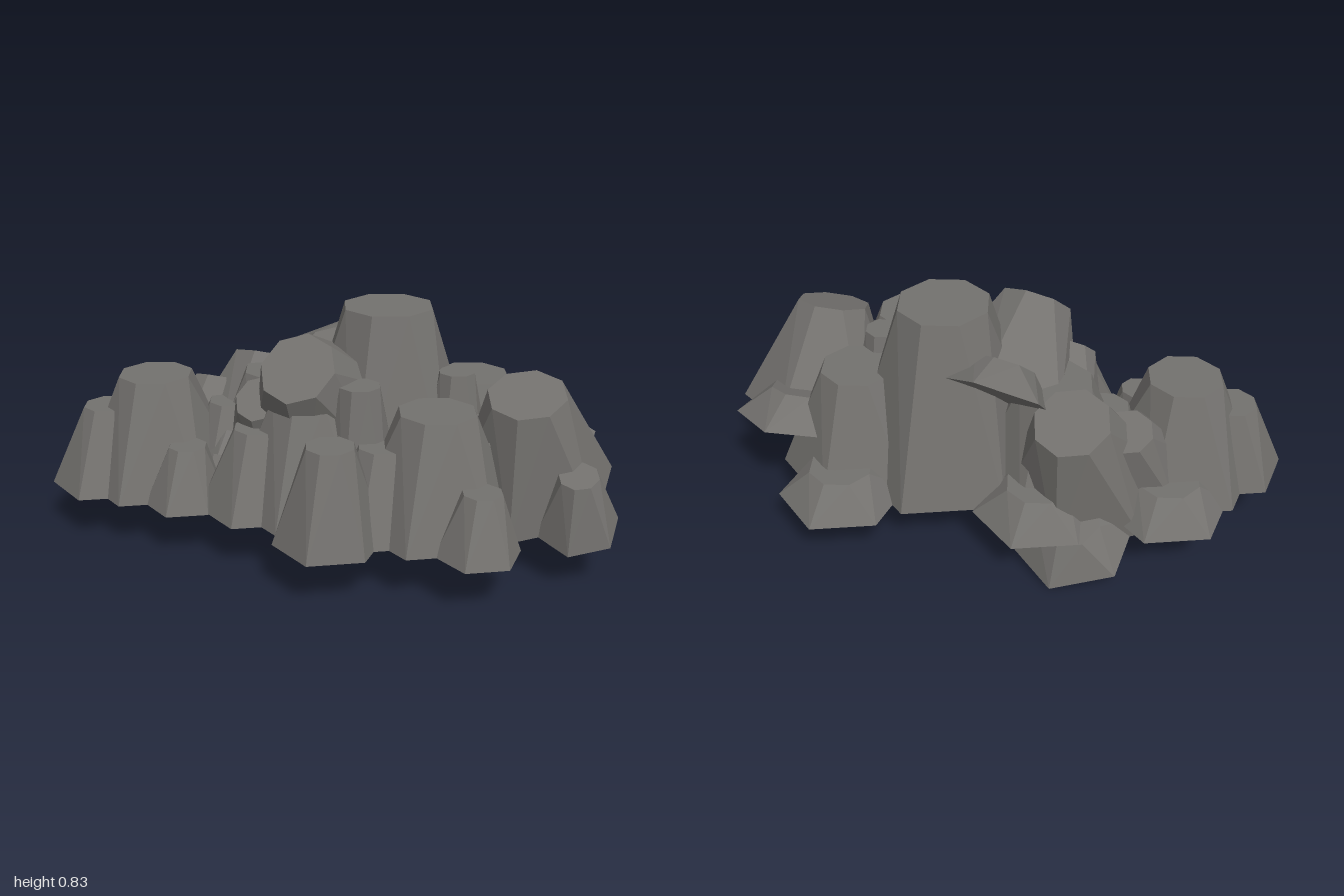
import * as THREE from 'three';
import { ConvexGeometry } from 'three/addons/geometries/ConvexGeometry.js';

const stone = new THREE.MeshStandardMaterial({ color: 0x73716e });
stone.name = 'grey stone';

// Points of a regular ring at height y, with one corner towards +z
function ring(sides, radius, y, z = 0) {
  return Array.from({ length: sides }, (_, i) => {
    const a = (i / sides) * Math.PI * 2;
    return new THREE.Vector3(Math.sin(a) * radius, y, Math.cos(a) * radius + z);
  });
}

// Tapered boulder: six-sided foot, eight-sided flat top that may lean in z
function boulder(name, x, z, foot, top, height, lean = 0) {
  const points = [...ring(6, foot, 0), ...ring(8, top, height, lean)];
  const mesh = new THREE.Mesh(new ConvexGeometry(points), stone);
  mesh.name = name;
  mesh.position.set(x, 0, z);
  return mesh;
}

// Cluster of four boulders sharing one foot plane, optionally tilted
function cluster(name, x, y, z, tilt = 0) {
  const group = new THREE.Group();
  group.name = name;
  group.add(
    boulder('tallBoulder', 0, 0, 0.3, 0.135, 0.405),
    boulder('sideBoulder', -0.16, 0.1, 0.21, 0.088, 0.29, -0.02),
    boulder('smallBoulder', 0.2, 0.17, 0.145, 0.068, 0.205, -0.03),
    boulder('lowBoulder', -0.03, -0.21, 0.23, 0.115, 0.115)
  );
  group.position.set(x, y, z);
  group.rotation.x = THREE.MathUtils.degToRad(tilt);
  return group;
}

export function createModel() {
  const model = new THREE.Group();
  model.name = 'rockPile';
  const ground = 0.165;

  // Upright clusters
  model.add(
    cluster('leftEndRocks', -0.66, ground, 0.2),
    cluster('middleRocks', -0.05, ground, 0.2),
    cluster('frontRocks', 0.41, ground, 0.2),
    cluster('backRocks', 0.41, ground, -0.22),
    cluster('innerRocks', -0.26, ground, -0.015)
  );

  // Tilted clusters
  model.add(
    cluster('sideLeaningRocks', 0.675, 0.235, -0.08, 20),
    cluster('backLeaningRocks', -0.39, 0.183, -0.02, -25),
    cluster('forwardLeaningRocks', -0.06, 0.397, -0.01, 45)
  );

  // Central peak with its companions
  const centre = new THREE.Group();
  centre.name = 'centralRocks';
  centre.position.y = ground;
  centre.add(
    boulder('peak', 0.13, -0.09, 0.367, 0.165, 0.665),
    boulder('frontSpur', 0.13, 0.467, 0.19, 0.084, 0.335, -0.015),
    boulder('frontShoulder', 0.14, 0.215, 0.16, 0.073, 0.465),
    boulder('sideShoulder', 0.4, -0.05, 0.16, 0.065, 0.465)
  );
  model.add(centre);
  return model;
}
